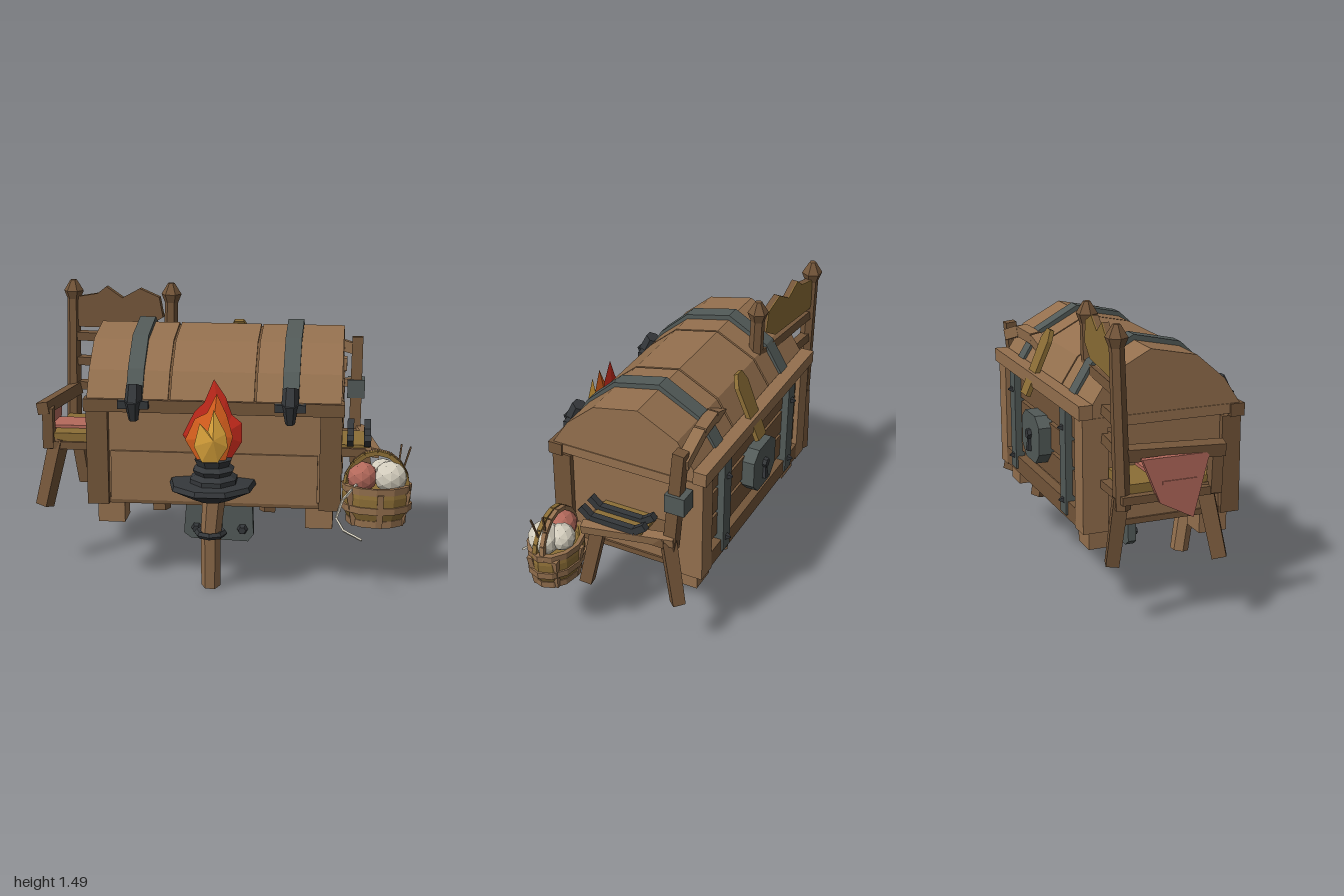
import * as THREE from 'three';

const colours = {
  wood: 0x94704e, darkWood: 0x735539, ochre: 0x8c6e36, steel: 0x525a58, iron: 0x34373a,
  red: 0xc62a1c, orange: 0xe0631f, yellow: 0xdda53c, rose: 0xb56a5c, cream: 0xd3cdbd,
};

export function createModel() {
  const root = new THREE.Group();
  const M = {};
  for (const [name, color] of Object.entries(colours)) {
    M[name] = new THREE.MeshStandardMaterial({ color });
    M[name].name = name;
  }
  const group = (name) => {
    const g = new THREE.Group();
    g.name = name;
    root.add(g);
    return g;
  };
  // Faceted mesh: every face gets its own normal
  const add = (g, name, geo, mat) => {
    const flat = geo.index ? geo.toNonIndexed() : geo;
    flat.computeVertexNormals();
    const mesh = new THREE.Mesh(flat, M[mat]);
    mesh.name = name;
    g.add(mesh);
    return mesh;
  };
  // Box given by its limits on each axis
  const box = (g, name, mat, x0, x1, y0, y1, z0, z1) => {
    const geo = new THREE.BoxGeometry(x1 - x0, y1 - y0, z1 - z0);
    geo.translate((x0 + x1) / 2, (y0 + y1) / 2, (z0 + z1) / 2);
    return add(g, name, geo, mat);
  };
  // Square or many-sided bar between two points
  const bar = (g, name, mat, a, b, r0, r1 = r0, sides = 4) => {
    const A = new THREE.Vector3(...a), B = new THREE.Vector3(...b);
    const d = B.clone().sub(A);
    const geo = new THREE.CylinderGeometry(r1, r0, d.length(), sides);
    geo.rotateY(Math.PI / sides);
    const mesh = add(g, name, geo, mat);
    mesh.position.copy(A).add(B).multiplyScalar(0.5);
    mesh.quaternion.setFromUnitVectors(new THREE.Vector3(0, 1, 0), d.normalize());
    return mesh;
  };
  const bars = (g, name, mat, pts, r) => {
    for (let i = 1; i < pts.length; i++) bar(g, name, mat, pts[i - 1], pts[i], r);
  };
  const shape = (pts) => new THREE.Shape(pts.map(([x, y]) => new THREE.Vector2(x, y)));
  const plate = (g, name, mat, pts, z0, z1) => {
    const geo = new THREE.ExtrudeGeometry(shape(pts), { depth: z1 - z0, bevelEnabled: false });
    geo.translate(0, 0, z0);
    return add(g, name, geo, mat);
  };
  // Side profile of [z, y] points swept across x
  const sweep = (g, name, mat, pts, x0, x1) => {
    const geo = new THREE.ExtrudeGeometry(shape(pts), { depth: x1 - x0, bevelEnabled: false });
    geo.rotateY(-Math.PI / 2).translate(x1, 0, 0);
    return add(g, name, geo, mat);
  };
  // Faceted flame: outline pulled out to a ridge point on both sides
  const flame = (g, mat, pts, z, depth) => {
    const c = [(pts[0][0] + pts[3][0]) / 2, 0.84], v = [];
    pts.forEach((p, i) => {
      const q = pts[(i + 1) % pts.length];
      v.push(...p, z, ...q, z, ...c, z + depth, ...q, z, ...p, z, ...c, z - depth);
    });
    const geo = new THREE.BufferGeometry();
    geo.setAttribute('position', new THREE.Float32BufferAttribute(v, 3));
    add(g, 'flame', geo, mat);
  };

  // Chest body
  const chest = group('chest');
  box(chest, 'chestCore', 'wood', -0.63, 0.61, 0.46, 1.0, -0.46, 0.28);
  box(chest, 'chestFloor', 'darkWood', -0.64, 0.62, 0.44, 0.47, -0.48, 0.29);
  box(chest, 'frontPlank', 'wood', -0.54, 0.52, 0.46, 0.72, 0.27, 0.295);
  for (const [x0, x1] of [[-0.66, -0.55], [0.53, 0.64]]) {
    box(chest, 'frontPost', 'darkWood', x0, x1, 0.44, 0.94, 0.22, 0.32);
    box(chest, 'backPost', 'wood', x0, x1, 0.43, 1.0, -0.51, -0.38);
    box(chest, 'endRail', 'wood', x0, x1, 0.95, 1.0, -0.46, 0.3);
  }
  box(chest, 'frontRim', 'darkWood', -0.67, 0.65, 0.935, 1.0, 0.26, 0.335);
  box(chest, 'backRim', 'wood', -0.67, 0.65, 1.0, 1.07, -0.53, -0.46);
  box(chest, 'backBottomRail', 'darkWood', -0.56, 0.54, 0.44, 0.53, -0.51, -0.45);
  for (const y of [0.56, 0.71, 0.86]) box(chest, 'backPlank', 'darkWood', -0.56, 0.54, y, y + 0.13, -0.485, -0.45);
  for (const x of [-0.545, 0.53])
    for (const z of [-0.39, 0.2]) box(chest, 'foot', 'wood', x - 0.07, x + 0.07, 0.33, 0.45, z - 0.075, z + 0.075);

  // Rounded lid in three boards with metal straps
  const lid = [[0.32, 0.99], [0.23, 1.13], [0.08, 1.26], [-0.16, 1.31], [-0.37, 1.2], [-0.48, 1.03], [-0.48, 0.99]];
  sweep(chest, 'lidFrame', 'darkWood', lid.map(([z, y]) => [-0.08 + (z + 0.08) * 0.97, 1 + (y - 1) * 0.96]), -0.64, 0.62);
  for (const [x0, x1] of [[-0.655, -0.238], [-0.227, 0.197], [0.208, 0.635]]) sweep(chest, 'lidBoard', 'wood', lid, x0, x1);
  const hoop = lid.map(([z, y]) => [-0.08 + (z + 0.08) * 1.03, 1 + (y - 1) * 1.09]);
  for (const x of [-0.41, 0.38]) {
    sweep(chest, 'lidStrap', 'steel', hoop, x - 0.042, x + 0.042);
    box(chest, 'backStrap', 'steel', x - 0.04, x + 0.04, 0.46, 1.0, -0.52, -0.47);
    for (const y of [0.53, 0.9]) bar(chest, 'stud', 'iron', [x, y, -0.51], [x, y, -0.545], 0.025, 0.004);
    box(chest, 'claspBar', 'iron', x - 0.078, x + 0.078, 0.96, 1.0, 0.31, 0.365);
    bar(chest, 'claspUpper', 'iron', [x, 0.98, 0.35], [x, 1.07, 0.31], 0.045, 0.04, 6);
    bar(chest, 'claspTongue', 'iron', [x, 0.9, 0.345], [x, 1.0, 0.365], 0.025, 0.04, 6);
  }

  // Lock plate and hasp on the back
  const octagon = [[-0.14, 0.68], [-0.08, 0.62], [0.07, 0.62], [0.13, 0.68], [0.13, 0.82], [0.07, 0.87], [-0.08, 0.87], [-0.14, 0.82]];
  plate(chest, 'lockPlate', 'steel', octagon, -0.55, -0.47);
  bar(chest, 'keyhole', 'iron', [0, 0.76, -0.53], [0, 0.76, -0.57], 0.03, 0.025, 6);
  bar(chest, 'keyholeSlot', 'iron', [0, 0.67, -0.552], [0, 0.76, -0.552], 0.025, 0.01);
  const hasp = plate(chest, 'hasp', 'ochre', [[-0.04, 0], [0.05, 0], [0.055, 0.3], [0.02, 0.36], [-0.03, 0.36], [-0.055, 0.3]], -0.012, 0.012);
  hasp.position.set(0.06, 0.95, -0.55);
  hasp.rotation.x = 0.4;

  // High-backed chair on the right side
  const chair = group('highBackChair');
  for (const [x, z] of [[-0.865, -0.42], [-0.31, -0.35]]) {
    bar(chair, 'backPost', 'darkWood', [x - 0.015, 0.62, z + 0.02], [x, 1.41, z], 0.042, 0.036, 6);
    bar(chair, 'finialBase', 'darkWood', [x, 1.38, z], [x, 1.43, z], 0.035, 0.055, 6);
    bar(chair, 'finialTip', 'darkWood', [x, 1.43, z], [x, 1.49, z], 0.055, 0.018, 6);
    bar(chair, 'backLeg', 'darkWood', [x, 0.68, z + 0.02], [x + 0.04, 0.33, z - 0.01], 0.05, 0.045);
  }
  for (const y of [0.9, 1.04, 1.18]) bar(chair, 'backSlat', 'darkWood', [-0.85, y, -0.41], [-0.32, y, -0.355], 0.033);
  const crest = [[-0.27, 1.27], [-0.25, 1.23], [0.13, 1.24], [0.23, 1.3], [0.21, 1.41], [0.1, 1.455], [0, 1.4], [-0.09, 1.46], [-0.14, 1.42], [-0.25, 1.4]];
  const board = plate(chair, 'crestBoard', 'darkWood', crest, -0.015, 0.015);
  const face = plate(chair, 'crestBackFace', 'ochre', crest, -0.021, -0.015);
  for (const m of [board, face]) {
    m.position.set(-0.585, 0, -0.385);
    m.rotation.y = -0.11;
  }
  box(chair, 'seat', 'darkWood', -0.94, -0.3, 0.655, 0.695, -0.42, 0.07);
  box(chair, 'seatCushion', 'ochre', -0.9, -0.6, 0.69, 0.74, -0.37, 0.055);
  box(chair, 'seatCloth', 'rose', -0.96, -0.6, 0.74, 0.756, -0.23, -0.05);
  sweep(chair, 'hangingCloth', 'rose', [[-0.33, 0.87], [-0.24, 0.65], [-0.07, 0.56], [0.01, 0.87]], -0.955, -0.925);
  bar(chair, 'arm', 'darkWood', [-0.86, 0.88, -0.4], [-0.94, 0.88, 0.09], 0.045);
  bar(chair, 'armPost', 'darkWood', [-0.92, 0.66, 0.05], [-0.915, 0.88, 0.06], 0.04);
  bar(chair, 'frontLeg', 'darkWood', [-0.87, 0.7, 0.02], [-0.95, 0.34, 0.07], 0.055, 0.05);
  bar(chair, 'frontLeg', 'darkWood', [-0.34, 0.68, 0.03], [-0.31, 0.34, 0.07], 0.055, 0.05);

  // Low chair on the left side, with a mended post
  const low = group('lowChair');
  bar(low, 'backPost', 'darkWood', [0.7, 0.62, -0.37], [0.705, 1.2, -0.425], 0.045, 0.042);
  box(low, 'postClamp', 'steel', 0.655, 0.75, 0.87, 0.97, -0.465, -0.36);
  bars(low, 'crestRail', 'wood', [[0.2, 1.12, -0.38], [0.33, 1.18, -0.4], [0.5, 1.19, -0.42], [0.7, 1.13, -0.43]], 0.042);
  bar(low, 'lowerBackRail', 'wood', [0.22, 0.95, -0.38], [0.7, 0.95, -0.4], 0.03);
  box(low, 'seat', 'darkWood', 0.24, 0.76, 0.655, 0.7, -0.36, 0.06);
  bar(low, 'sideRail', 'wood', [0.72, 0.69, -0.4], [0.81, 0.68, 0.06], 0.035);
  box(low, 'seatPad', 'ochre', 0.6, 0.775, 0.7, 0.715, -0.25, 0.04);
  for (const x of [0.68, 0.77])
    bars(low, 'seatBracket', 'iron', [[x, 0.765, 0.085], [x, 0.72, 0.03], [x, 0.72, -0.21], [x, 0.765, -0.27]], 0.025);
  for (const [x, dx] of [[0.74, 0.06], [0.28, -0.03]]) {
    bar(low, 'frontLeg', 'darkWood', [x, 0.67, 0], [x + dx, 0.34, 0.05], 0.05, 0.045);
    bar(low, 'backLeg', 'darkWood', [x - 0.03, 0.68, -0.36], [x - 0.03 + dx * 0.5, 0.33, -0.43], 0.05, 0.045);
  }

  // Torch: bent handle, dish, collar and layered flames
  const torch = group('torch');
  bar(torch, 'handleLower', 'wood', [-0.025, 0.005, 0.29], [-0.02, 0.3, 0.335], 0.05, 0.052, 6);
  bar(torch, 'handleUpper', 'wood', [-0.02, 0.3, 0.335], [0.005, 0.56, 0.365], 0.052, 0.06, 6);
  const turned = (name, pts, sides) => {
    const geo = new THREE.LatheGeometry(pts.map(([r, y]) => new THREE.Vector2(r, y)), sides);
    return add(torch, name, geo.rotateY(Math.PI / 8), 'iron');
  };
  turned('dish', [[0, 0.495], [0.1, 0.5], [0.225, 0.565], [0.215, 0.59], [0.12, 0.6], [0, 0.6]], 9).position.set(-0.01, 0, 0.34);
  turned('collar', [[0, 0.58], [0.125, 0.59], [0.125, 0.62], [0.095, 0.64], [0.11, 0.665], [0.085, 0.685], [0.1, 0.72], [0, 0.72]], 8).position.set(0, 0, 0.37);
  flame(torch, 'red', [[-0.06, 0.69], [0.08, 0.7], [0.14, 0.8], [0.14, 0.9], [0.09, 0.94], [0.06, 1.03], [0.0, 1.12], [-0.05, 1.0], [-0.1, 0.95], [-0.16, 0.83]], 0.35, 0.04);
  flame(torch, 'orange', [[-0.07, 0.7], [0.06, 0.7], [0.1, 0.84], [0.07, 0.95], [0.02, 1.06], [-0.03, 0.96], [-0.09, 0.93], [-0.14, 0.82]], 0.405, 0.035);
  flame(torch, 'yellow', [[-0.05, 0.72], [0.03, 0.72], [0.08, 0.8], [0.07, 0.87], [0.01, 0.99], [-0.02, 0.88], [-0.06, 0.92], [-0.09, 0.8]], 0.455, 0.03);

  // Wall bracket below the chest holding the torch
  const bracket = group('torchBracket');
  plate(bracket, 'wallPlate', 'steel', [[-0.21, 0.17], [-0.17, 0.14], [0.14, 0.13], [0.17, 0.17], [0.16, 0.42], [0.12, 0.46], [-0.15, 0.46], [-0.19, 0.42]], -0.09, -0.045);
  for (const x of [-0.14, 0.11])
    for (const y of [0.2, 0.4]) bar(bracket, 'bolt', 'iron', [x, y, -0.05], [x, y, -0.015], 0.032, 0.02, 6);
  bars(bracket, 'curvedArm', 'steel', [[-0.02, 0.24, -0.05], [-0.02, 0.225, 0.06], [-0.02, 0.26, 0.17], [-0.02, 0.31, 0.27]], 0.03);
  const ring = add(bracket, 'holderRing', new THREE.TorusGeometry(0.068, 0.018, 5, 8).rotateX(Math.PI / 2), 'iron');
  ring.position.set(-0.02, 0.31, 0.335);

  // Basket with hoops, handle, wool and needles
  const basket = group('woolBasket');
  basket.position.set(0.82, 0, 0.21);
  const profile = [[0, 0.35], [0.13, 0.355], [0.17, 0.43], [0.175, 0.51], [0.165, 0.565], [0.145, 0.565], [0.14, 0.53], [0, 0.53]];
  const lathe = (name, pts, mat) => {
    const geo = new THREE.LatheGeometry(pts.map(([r, y]) => new THREE.Vector2(r, y)), 12);
    add(basket, name, geo.scale(1, 1, 0.74), mat);
  };
  lathe('basketBowl', profile, 'ochre');
  for (const [y, r] of [[0.375, 0.15], [0.45, 0.178], [0.55, 0.175]])
    lathe('basketHoop', [[r - 0.02, y - 0.018], [r + 0.003, y - 0.018], [r + 0.005, y + 0.018], [r - 0.02, y + 0.018]], 'wood');
  for (let i = 0; i < 6; i++) {
    const a = (i / 6) * Math.PI * 2 + 0.4, c = Math.cos(a), s = Math.sin(a) * 0.74;
    bar(basket, 'basketStave', 'wood', [0.135 * c, 0.36, 0.135 * s], [0.172 * c, 0.54, 0.172 * s], 0.022);
  }
  for (const z of [-0.02, 0.025]) {
    const arch = [];
    for (let i = 0; i <= 8; i++) {
      const a = (i / 8) * Math.PI;
      arch.push([0.16 * Math.cos(a), 0.54 + 0.19 * Math.sin(a), z * (1 - 0.4 * Math.sin(a))]);
    }
    bars(basket, 'basketHandle', z < 0 ? 'wood' : 'ochre', arch, 0.016);
  }
  for (const [mat, x, y, z, r] of [['rose', -0.075, 0.6, 0.01, 0.08], ['cream', 0.07, 0.605, 0.02, 0.085], ['cream', 0.03, 0.61, -0.055, 0.07]])
    add(basket, 'woolBall', new THREE.IcosahedronGeometry(r, 1), mat).position.set(x, y, z);
  bar(basket, 'needle', 'darkWood', [0.1, 0.56, -0.02], [0.12, 0.77, -0.01], 0.006);
  bar(basket, 'needle', 'darkWood', [0.11, 0.56, 0], [0.165, 0.77, 0.03], 0.006);
  bars(basket, 'looseYarn', 'cream', [[-0.1, 0.58, 0.08], [-0.17, 0.5, 0.1], [-0.2, 0.42, 0.15], [-0.16, 0.37, 0.2], [-0.07, 0.345, 0.26]], 0.007);

  return root;
}
